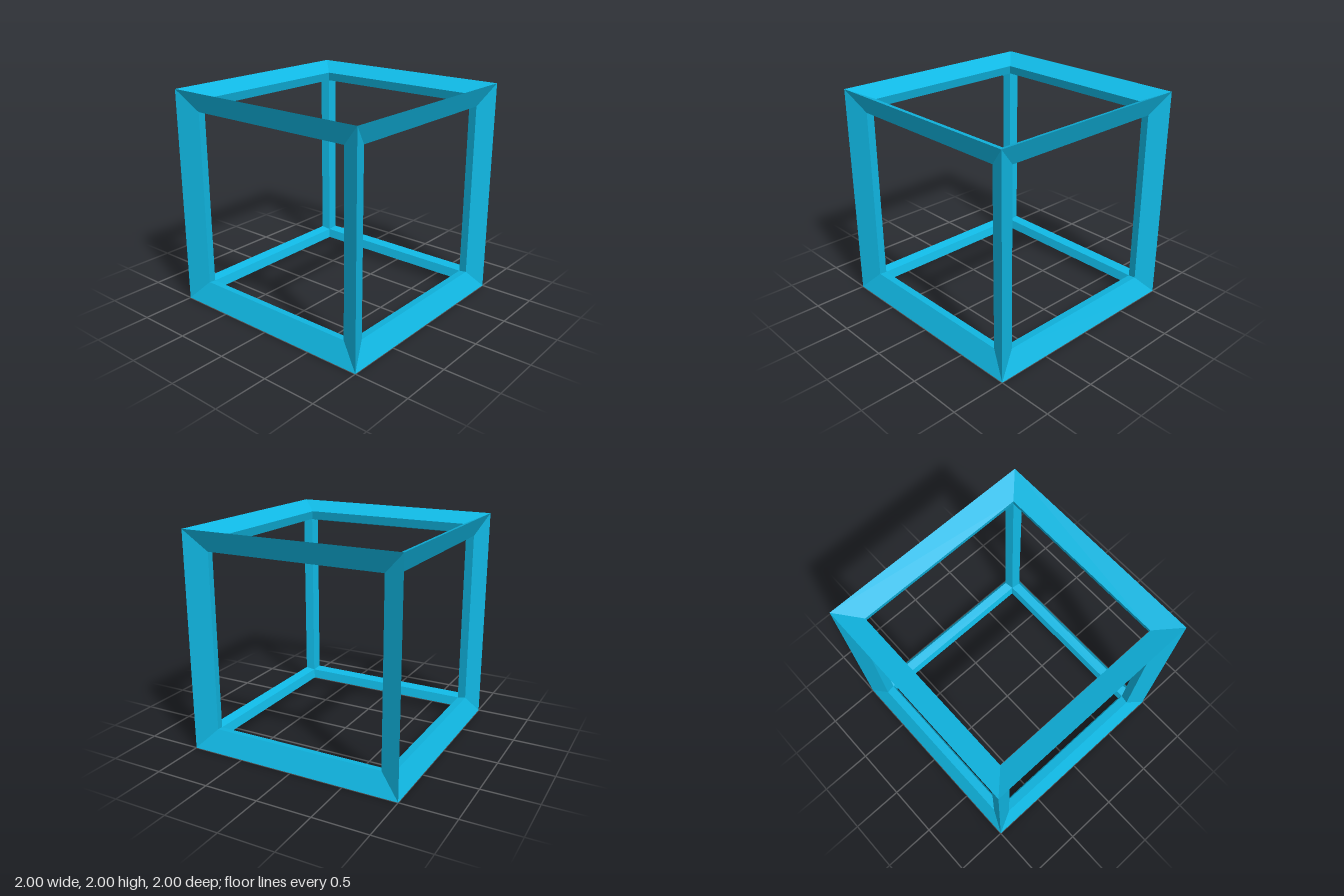
import * as THREE from 'three';

// Kite section of one mitred beam: [x, y, half length along z], counterclockwise
const SECTION = [
  [1, 1, 1],             // outer corner
  [0.81, 0.913, 0.81],   // rim of one face opening
  [0.83, 0.83, 0.83],    // inner corner
  [0.913, 0.81, 0.81],   // rim of the neighbouring opening
];

function beamGeometry() {
  const positions = [];
  SECTION.forEach(([x0, y0, h0], i) => {
    const [x1, y1, h1] = SECTION[(i + 1) % SECTION.length];
    const a = [x0, y0, -h0], b = [x1, y1, -h1], c = [x1, y1, h1], d = [x0, y0, h0];
    positions.push(...a, ...b, ...c, ...a, ...c, ...d);
  });
  const geometry = new THREE.BufferGeometry();
  geometry.setAttribute('position', new THREE.Float32BufferAttribute(positions, 3));
  geometry.computeVertexNormals();
  return geometry;
}

export function createModel() {
  const model = new THREE.Group();
  model.name = 'cubeFrame';
  const geometry = beamGeometry();
  const material = new THREE.MeshStandardMaterial({ color: 0x10b8e4, flatShading: true });

  // Turn the z-aligned set of four beams onto each axis
  const sets = [
    ['depthBeams', 0, 0],
    ['widthBeams', 0, Math.PI / 2],
    ['uprightBeams', Math.PI / 2, 0],
  ];
  for (const [name, rx, ry] of sets) {
    const set = new THREE.Group();
    set.name = name;
    set.rotation.set(rx, ry, 0);
    set.position.y = 1;
    for (let i = 0; i < 4; i++) {
      const beam = new THREE.Mesh(geometry, material);
      beam.name = 'beam' + (i + 1);
      beam.rotation.z = i * Math.PI / 2;
      set.add(beam);
    }
    model.add(set);
  }
  return model;
}
